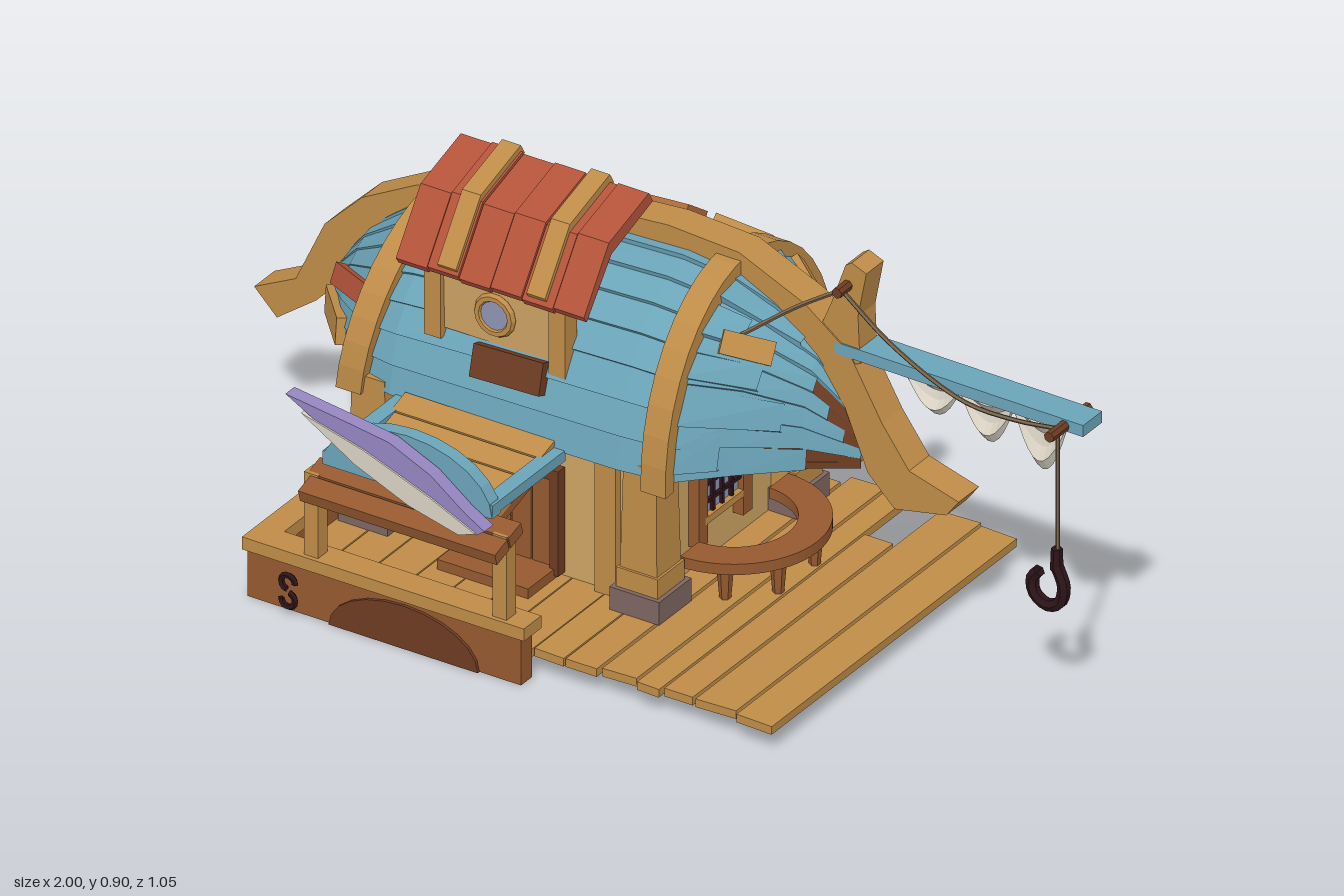
import * as THREE from 'three';

const C = { tan: 0xbf8c48, wall: 0xcda364, brown: 0x95592f, dark: 0x6d3c22, blue: 0x6ba4b8, red: 0xb4533a,
  orange: 0xb06a38, purple: 0x9585c0, cloth: 0xd9d2c4, stone: 0x7d6560, iron: 0x2c1419, glass: 0x9093b3, rope: 0x7a664c };
const mats = {};
const mat = (c) => (mats[c] ??= new THREE.MeshStandardMaterial({ color: C[c], flatShading: true, side: THREE.DoubleSide }));
const V = (x, y, z) => new THREE.Vector3(x, y, z);
const CZ = -0.1; // centre line of the house and hull

function add(parent, name, geo, color, x = 0, y = 0, z = 0) {
  const m = new THREE.Mesh(geo, mat(color));
  m.name = name;
  m.position.set(x, y, z);
  parent.add(m);
  return m;
}
// box given by its min and max limits
const box = (p, name, color, x0, x1, y0, y1, z0, z1) =>
  add(p, name, new THREE.BoxGeometry(x1 - x0, y1 - y0, z1 - z0), color, (x0 + x1) / 2, (y0 + y1) / 2, (z0 + z1) / 2);
// outline in x,y extruded between z0 and z1
function plate(p, name, color, pts, z0, z1) {
  const shape = new THREE.Shape(pts.map(([x, y]) => new THREE.Vector2(x, y)));
  return add(p, name, new THREE.ExtrudeGeometry(shape, { depth: z1 - z0, bevelEnabled: false }), color, 0, 0, z0);
}
const tube = (p, name, color, pts, r, n = 20, sides = 5) =>
  add(p, name, new THREE.TubeGeometry(new THREE.CatmullRomCurve3(pts.map((a) => V(...a))), n, r, sides), color);
// surface through rows of points
function loft(rows) {
  const n = rows[0].length, idx = [];
  for (let i = 0; i < rows.length - 1; i++)
    for (let j = 0; j < n - 1; j++) {
      const a = i * n + j, b = a + n;
      idx.push(a, b, a + 1, b, b + 1, a + 1);
    }
  const g = new THREE.BufferGeometry().setFromPoints(rows.flat());
  g.setIndex(idx);
  g.computeVertexNormals();
  return g;
}

// hull: half width and crest height along x, elliptical section
const HX = [-0.83, -0.72, -0.6, -0.5, -0.2, 0.05, 0.17, 0.26, 0.36, 0.46];
const HW = [0.015, 0.15, 0.265, 0.292, 0.298, 0.295, 0.28, 0.19, 0.1, 0.03];
const HT = [0.44, 0.58, 0.675, 0.715, 0.755, 0.765, 0.75, 0.705, 0.63, 0.5];
function sample(tab, x) {
  let i = 0;
  while (i < HX.length - 2 && x > HX[i + 1]) i++;
  return THREE.MathUtils.lerp(tab[i], tab[i + 1], (x - HX[i]) / (HX[i + 1] - HX[i]));
}
const BASE = 0.385;
const hull = (x, th, side, k = 1) =>
  V(x, BASE + (sample(HT, x) - BASE) * Math.sin(th) * k, CZ + side * sample(HW, x) * Math.cos(th) * k);
const stations = (end) => [...HX.filter((x) => x < end - 0.01), end];

function buildHull(g) {
  // dark inner shell and soffit
  const angles = Array.from({ length: 17 }, (_, i) => (i / 16) * Math.PI);
  add(g, 'innerShell', loft(HX.map((x) => angles.map((a) => hull(x, a, 1, 0.96)))), 'dark');
  add(g, 'soffit', loft(HX.map((x) => [hull(x, 0, 1, 0.97), hull(x, 0, -1, 0.97)])), 'brown', 0, 0.015, 0);
  // overlapping strakes, ends staggered at the prow
  const N = 8;
  for (const s of [1, -1])
    for (let i = 0; i < N; i++) {
      const a = (i / N) * Math.PI / 2, b = ((i + 1) / N) * Math.PI / 2;
      const end = i > 5 ? 0.46 : 0.37 + 0.03 * ((i * 3) % 4);
      add(g, 'strake', loft(stations(end).map((x) => [hull(x, b, s), hull(x, a, s, 1.03), hull(x, a, s, 0.96)])), 'blue');
    }
  // short overlaid planks stepping down the prow
  for (const s of [1, -1])
    for (let i = 0; i < 5; i++) {
      const a = 0.05 + i * 0.28, end = 0.24 + 0.045 * ((i * 2) % 3);
      add(g, 'prowPlank', loft([0.16, end].map((x) => [hull(x, a + 0.24, s, 1.03), hull(x, a, s, 1.07), hull(x, a, s, 0.98)])), 'blue');
    }
  // arched ribs
  const rib = (x, lean, top, w) => {
    const rows = [];
    for (let i = 0; i <= 20; i++) {
      const a = -0.06 + (i / 20) * (Math.PI + 0.12), c = Math.cos(a), s = Math.sin(a);
      const p = (dx, k) => V(x + dx + lean * s, BASE + (top - BASE) * s * k, CZ + w * c * k);
      rows.push([p(-0.03, 0.9), p(-0.03, 1), p(0.03, 1), p(0.03, 0.9), p(-0.03, 0.9)]);
    }
    add(g, 'rib', loft(rows), 'tan');
  };
  rib(-0.595, 0.045, 0.725, 0.305);
  rib(0.145, 0, 0.785, 0.315);
  // keel with curled ends
  plate(g, 'keel', 'tan', [[-1, 0.35], [-0.9, 0.4], [-0.83, 0.55], [-0.74, 0.64], [-0.61, 0.71], [-0.47, 0.755], [-0.25, 0.79],
    [0, 0.81], [0.17, 0.8], [0.33, 0.73], [0.435, 0.65], [0.515, 0.51], [0.58, 0.42], [0.7, 0.385], [0.67, 0.345], [0.545, 0.32],
    [0.48, 0.385], [0.425, 0.52], [0.355, 0.615], [0.25, 0.695], [0.13, 0.745], [-0.2, 0.74], [-0.53, 0.69], [-0.6, 0.66],
    [-0.72, 0.56], [-0.78, 0.44], [-0.85, 0.365], [-0.945, 0.295]], CZ - 0.04, CZ + 0.035);
  // repair boards lying on the hull
  const patch = (x, th, s, len, wid, color, rot = 0) => {
    const p = hull(x, th, s, 1.035);
    const X = hull(x + 0.03, th, s).sub(hull(x - 0.03, th, s)).normalize();
    const Z = X.clone().cross(hull(x, th + 0.05, s).sub(hull(x, th - 0.05, s))).normalize();
    const m = add(g, 'repairBoard', new THREE.BoxGeometry(len, wid, 0.025), color);
    m.quaternion.setFromRotationMatrix(new THREE.Matrix4().makeBasis(X, Z.clone().cross(X), Z));
    m.rotateZ(rot);
    m.position.copy(p);
  };
  patch(-0.285, 0.5, -1, 0.36, 0.1, 'red', 0.04);
  patch(-0.2, 1.05, -1, 0.28, 0.09, 'orange', -0.06);
  patch(-0.22, 0.2, -1, 0.26, 0.045, 'tan', 0.25);
  patch(-0.4, 0.78, -1, 0.25, 0.035, 'tan');
  patch(0.05, 0.95, -1, 0.14, 0.05, 'tan');
  patch(-0.69, 0.55, -1, 0.17, 0.05, 'orange');
  patch(-0.7, 0.15, -1, 0.18, 0.05, 'tan');
  patch(0.24, 0.95, -1, 0.15, 0.04, 'tan');
  patch(-0.68, 0.6, 1, 0.2, 0.045, 'red', -0.06);
  patch(-0.74, 0.15, 1, 0.17, 0.06, 'tan');
  patch(0.25, 0.9, 1, 0.11, 0.05, 'tan', 0.1);
  patch(-0.22, 0.38, 1, 0.17, 0.07, 'dark');
}

// latticed window facing +z, placed and turned as one group
function window_(g, x, y, z, turn) {
  const w = new THREE.Group();
  w.name = 'window';
  box(w, 'pane', 'glass', -0.065, 0.065, -0.07, 0.07, 0, 0.012);
  for (const k of [-1, 0, 1]) {
    box(w, 'bar', 'iron', k * 0.035 - 0.004, k * 0.035 + 0.004, -0.07, 0.07, 0.005, 0.02);
    box(w, 'bar', 'iron', -0.065, 0.065, k * 0.04 - 0.004, k * 0.04 + 0.004, 0.005, 0.02);
  }
  for (const s of [-1, 1]) {
    box(w, 'jamb', 'brown', s * 0.082 - 0.017, s * 0.082 + 0.017, -0.13, 0.15, 0, 0.025);
    box(w, 'sill', 'tan', -0.075, 0.075, s * 0.078 - 0.008, s * 0.078 + 0.008, 0, 0.025);
  }
  w.position.set(x, y, z);
  w.rotation.y = turn;
  g.add(w);
}

function buildHouse(g) {
  box(g, 'walls', 'wall', -0.55, 0.09, 0.06, 0.42, -0.345, 0.15);
  for (const x of [-0.555, 0.1])
    for (const z of [0.155, -0.355]) {
      box(g, 'stoneFoot', 'stone', x - 0.06, x + 0.06, 0.062, 0.115, z - 0.06, z + 0.06);
      const post = add(g, 'cornerPost', new THREE.CylinderGeometry(0.056, 0.064, 0.29, 4, 1), 'tan', x, 0.26, z);
      post.geometry.rotateY(Math.PI / 4);
      box(g, 'postCollar', 'tan', x - 0.05, x + 0.05, 0.115, 0.16, z - 0.05, z + 0.05);
    }
  window_(g, 0.09, 0.25, CZ, Math.PI / 2);
  window_(g, -0.55, 0.25, CZ, -Math.PI / 2);
  window_(g, -0.22, 0.25, -0.345, Math.PI);
  // front door with boards and frame
  for (let i = 0; i < 4; i++) box(g, 'doorBoard', 'brown', -0.325 + i * 0.049, -0.28 + i * 0.049, 0.08, 0.29, 0.15, 0.165);
  box(g, 'doorLintel', 'dark', -0.35, -0.11, 0.29, 0.315, 0.15, 0.175);
  for (const x of [-0.35, -0.13]) box(g, 'doorJamb', 'dark', x, x + 0.02, 0.07, 0.29, 0.15, 0.175);
  for (const [x, z] of [[0, 0], [-0.46, 0]]) box(g, 'wallStud', 'tan', x - 0.025, x + 0.025, 0.06, 0.4, 0.14, 0.17);
  box(g, 'doorStep', 'brown', -0.34, -0.12, 0.06, 0.085, 0.15, 0.27);
}

function buildBase(g) {
  // U-shaped plinth with a plank rim, open towards the deck
  box(g, 'plinthFront', 'brown', -0.66, 0, 0, 0.11, 0.44, 0.48);
  box(g, 'plinthBack', 'brown', -0.66, 0, 0, 0.11, -0.505, -0.465);
  box(g, 'plinthSide', 'brown', -0.66, -0.62, 0, 0.11, -0.465, 0.44);
  box(g, 'rimFront', 'tan', -0.67, 0.01, 0.108, 0.137, 0.42, 0.485);
  box(g, 'rimBack', 'tan', -0.67, 0.01, 0.108, 0.137, -0.522, -0.46);
  box(g, 'rimSide', 'tan', -0.67, -0.61, 0.108, 0.137, -0.46, 0.42);
  const arch = [];
  for (let i = 0; i <= 12; i++) arch.push([-0.28 + 0.18 * Math.cos((i / 12) * Math.PI), 0.1 * Math.sin((i / 12) * Math.PI)]);
  plate(g, 'plinthArch', 'dark', arch, 0.47, 0.487);
  // floor and deck planks: x from, x to, back z, front z
  for (let i = 0; i < 7; i++) box(g, 'floorPlank', 'tan', -0.63 + i * 0.09, -0.543 + i * 0.09, 0.043, 0.062, -0.47, 0.45);
  [[0, 0.07, -0.47, 0.43], [0.075, 0.15, -0.47, 0.43], [0.157, 0.24, -0.5, 0.42], [0.247, 0.3, -0.51, 0.43], [0.307, 0.375, -0.32, 0.42],
    [0.382, 0.48, -0.485, 0.42], [0.487, 0.572, -0.475, 0.43]].forEach(([a, b, c, d], i) => {
    box(g, 'deckPlank', 'tan', a, b, 0.043, 0.062, c, d).rotation.z = (i % 3 - 1) * 0.03;
  });
  for (const y of [0.075, 0.035]) {
    const ring = add(g, 'ironHook', new THREE.TorusGeometry(0.017, 0.007, 5, 10, 4.5), 'iron', -0.55, y, 0.498);
    ring.rotation.z = y > 0.05 ? 0 : Math.PI;
  }
  // half-round counter
  const ring = new THREE.Shape();
  ring.absarc(0, 0, 0.2, -Math.PI / 2, Math.PI / 2, false);
  ring.absarc(0, 0, 0.13, Math.PI / 2, -Math.PI / 2, true);
  const top = add(g, 'counterTop', new THREE.ExtrudeGeometry(ring, { depth: 0.025, bevelEnabled: false, curveSegments: 16 }), 'brown', 0.135, 0.135, CZ);
  top.rotation.x = -Math.PI / 2;
  for (const a of [-1.1, -0.42, 0.42, 1.1])
    add(g, 'counterLeg', new THREE.CylinderGeometry(0.018, 0.012, 0.075, 6), 'brown', 0.135 + 0.165 * Math.cos(a), 0.098, CZ + 0.165 * Math.sin(a));
}

function buildDormer(g) {
  // side profiles drawn as (z, y), turned to run along x
  const across = (name, color, pts, x0, x1) => {
    const m = plate(g, name, color, pts.map(([z, y]) => [-z, y]), 0, x1 - x0);
    m.rotation.y = Math.PI / 2;
    m.position.x = x0;
  };
  across('dormerWall', 'wall', [[0.165, 0.56], [0.17, 0.73], [0.1, 0.83], [-0.04, 0.87], [-0.04, 0.55]], -0.41, -0.11);
  const roof = (k) => [[0.19, 0.705 + k], [0.2, 0.72 + k], [0.108, 0.85 + k], [-0.04, 0.895 + k], [-0.055, 0.87 + k], [0.098, 0.82 + k]];
  for (let i = 0; i < 6; i++) across('dormerShingle', 'red', roof(-0.012 + 0.004 * (i % 2)), -0.485 + i * 0.076, -0.411 + i * 0.076);
  for (const x of [-0.385, -0.17]) across('dormerStrap', 'tan', roof(0.006), x, x + 0.045);
  for (const x of [-0.43, -0.13]) across('dormerCorner', 'tan', [[0.18, 0.54], [0.18, 0.73], [0.135, 0.77], [0.135, 0.54]], x, x + 0.04);
  add(g, 'portholeRing', new THREE.TorusGeometry(0.04, 0.01, 6, 14), 'tan', -0.265, 0.63, 0.17);
  add(g, 'portholeGlass', new THREE.CylinderGeometry(0.038, 0.038, 0.012, 14), 'glass', -0.265, 0.63, 0.168).rotation.x = Math.PI / 2;
}

function buildPorch(g) {
  // sloping awning on two posts
  const awning = new THREE.Group();
  awning.name = 'awning';
  for (let i = 0; i < 4; i++) box(awning, 'awningBoard', 'tan', -0.46, -0.1, -0.01, 0.01, i * 0.058, 0.054 + i * 0.058);
  for (let i = 0; i < 2; i++) box(awning, 'awningEdge', 'brown', -0.52 + 0.01 * i, -0.035, -0.014, 0.014, 0.232 + i * 0.053, 0.28 + i * 0.053);
  for (const x of [-0.46, -0.13]) box(awning, 'rafter', 'brown', x, x + 0.03, -0.03, -0.01, 0, 0.32);
  awning.position.set(0, 0.395, 0.2);
  awning.rotation.x = 0.29;
  g.add(awning);
  for (const x of [-0.51, -0.055]) box(g, 'porchPost', 'tan', x - 0.017, x + 0.017, 0.13, 0.33, 0.44, 0.475);
  // blue bracket holding the fish sign
  for (const x of [-0.485, -0.11]) box(g, 'signArm', 'blue', x, x + 0.035, 0.365, 0.39, 0.2, 0.47);
  const arc = [];
  for (let i = 0; i <= 12; i++) arc.push([-0.28 + 0.205 * Math.cos((i / 12) * Math.PI), 0.36 + 0.13 * Math.sin((i / 12) * Math.PI)]);
  plate(g, 'signBoard', 'blue', arc, 0.44, 0.472);
  plate(g, 'fishBack', 'purple', [[-0.55, 0.52], [-0.4, 0.5], [-0.3, 0.485], [-0.2, 0.44], [-0.12, 0.38], [-0.07, 0.35], [-0.09, 0.335],
    [-0.18, 0.37], [-0.33, 0.43], [-0.46, 0.47]], 0.475, 0.508);
  plate(g, 'fishBelly', 'cloth', [[-0.51, 0.49], [-0.36, 0.45], [-0.2, 0.39], [-0.09, 0.34], [-0.13, 0.325], [-0.25, 0.355], [-0.38, 0.41]], 0.48, 0.512);
}

function buildRigging(g) {
  plate(g, 'mastPost', 'tan', [[0.365, 0.69], [0.39, 0.75], [0.425, 0.85], [0.44, 0.86], [0.475, 0.845], [0.455, 0.74], [0.46, 0.63], [0.43, 0.62]], CZ - 0.032, CZ + 0.032);
  const pin = (x, y, z) => { add(g, 'pin', new THREE.CylinderGeometry(0.012, 0.012, 0.145, 7), 'dark', x, y, z).rotation.x = Math.PI / 2; };
  pin(0.43, 0.805, CZ);
  pin(0.955, 0.645, -0.08);
  const yard = box(g, 'yard', 'blue', 0.4, 1, 0.635, 0.662, CZ - 0.035, CZ + 0.035);
  yard.rotation.z = -0.01;
  tube(g, 'stayRope', 'rope', [[0.43, 0.805, -0.045], [0.55, 0.71, -0.05], [0.72, 0.635, -0.05], [0.84, 0.63, -0.05], [0.955, 0.65, -0.04]], 0.005);
  tube(g, 'backRope', 'rope', [[0.43, 0.805, -0.045], [0.34, 0.75, -0.02], [0.23, 0.67, 0.03]], 0.005);
  // furled sail in three swags
  const rows = [];
  for (let i = 0; i <= 30; i++) {
    const u = i / 30, sag = Math.abs(Math.sin(u * Math.PI * 3)), depth = 0.02 + sag * (0.06 + 0.07 * u), row = [];
    for (let j = 0; j <= 5; j++) row.push(V(0.55 + 0.39 * u, 0.637 - (depth * j) / 5, CZ + 0.012 * sag * Math.sin(j * 2)));
    rows.push(row);
  }
  add(g, 'furledSail', loft(rows), 'cloth');
  // hanging hook
  tube(g, 'hookRope', 'rope', [[0.955, 0.64, -0.04], [0.955, 0.5, -0.04], [0.955, 0.35, -0.04]], 0.005, 4);
  add(g, 'hookShank', new THREE.CylinderGeometry(0.012, 0.014, 0.05, 6), 'iron', 0.953, 0.345, -0.04);
  tube(g, 'hook', 'iron', [[0.953, 0.33, -0.04], [0.97, 0.285, -0.04], [0.96, 0.245, -0.04], [0.93, 0.232, -0.04], [0.9, 0.25, -0.04], [0.895, 0.285, -0.04], [0.91, 0.305, -0.04]], 0.014, 18, 6);
}

export function createModel() {
  const model = new THREE.Group();
  model.name = 'boatRoofHouse';
  for (const [name, build] of Object.entries({ base: buildBase, house: buildHouse, hullRoof: buildHull, dormer: buildDormer, porch: buildPorch, rigging: buildRigging })) {
    const part = new THREE.Group();
    part.name = name;
    build(part);
    model.add(part);
  }
  return model;
}
